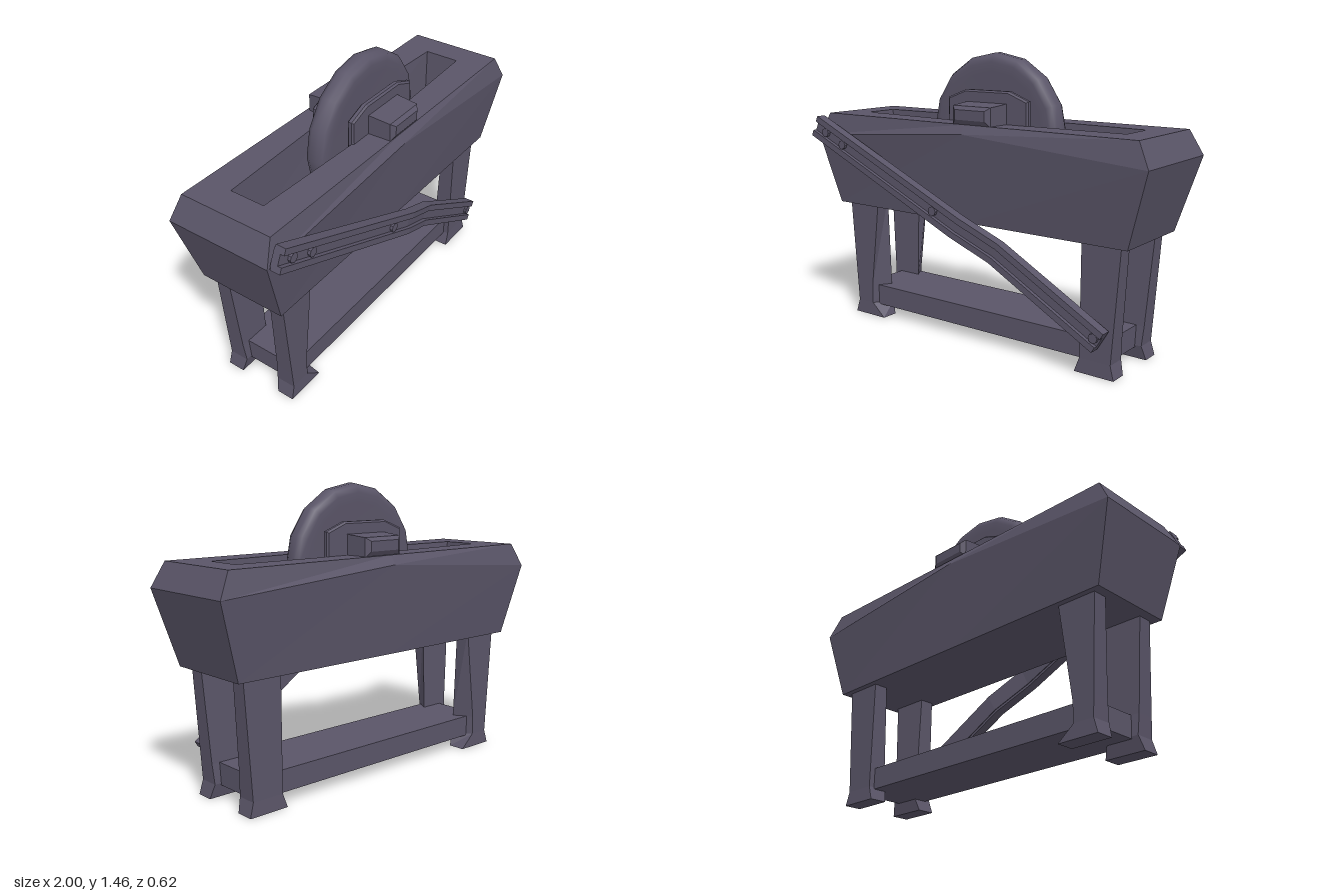
import * as THREE from 'three';

const wood = new THREE.MeshStandardMaterial({ color: 0x5a5568, flatShading: true });
const stone = new THREE.MeshStandardMaterial({ color: 0x5a5568 });

// Skin between equal-sized rings (counterclockwise about the sweep direction), capped at both ends
function loft(rings) {
  const pos = [];
  const tri = (...pts) => pts.forEach((p) => pos.push(...p));
  const n = rings[0].length;
  for (let r = 0; r < rings.length - 1; r++) {
    for (let i = 0; i < n; i++) {
      const j = (i + 1) % n, [lo, hi] = [rings[r], rings[r + 1]];
      tri(lo[i], lo[j], hi[j]);
      tri(lo[i], hi[j], hi[i]);
    }
  }
  const first = rings[0], last = rings[rings.length - 1];
  for (let i = 1; i < n - 1; i++) {
    tri(first[0], first[i + 1], first[i]);
    tri(last[0], last[i], last[i + 1]);
  }
  const geo = new THREE.BufferGeometry();
  geo.setAttribute('position', new THREE.Float32BufferAttribute(pos, 3));
  geo.computeVertexNormals();
  return geo;
}

function add(parent, name, geo, mat = wood, x = 0, y = 0, z = 0) {
  const mesh = new THREE.Mesh(geo, mat);
  mesh.name = name;
  mesh.position.set(x, y, z);
  parent.add(mesh);
  return mesh;
}

// Trough ring with an extra point in the middle of each long side
function troughRing(y, x, zBack, zFront, yMid = y, bulge = 0) {
  return [
    [x, y, zFront], [x, y, zBack], [0, yMid, zBack - bulge],
    [-x, y, zBack], [-x, y, zFront], [0, yMid, zFront + bulge],
  ];
}

// Tapered leg with a flared foot, mirrored by the signs sx and sz
function legGeometry(sx, sz) {
  const twist = sx < 0 ? 0.06 : 0;
  // y, inner x (outside corner), inner x (inside corner), outer x, inner z, outer z
  const levels = [
    [0, 0.615, 0.615, 0.825, 0.115, 0.206],
    [0.07, 0.64 + twist, 0.64, 0.805, 0.1, 0.2025],
    [0.17, 0.64 + twist, 0.64, 0.812, 0.11, 0.2025],
    [0.66, 0.64, 0.64, 0.847, 0.127, 0.2025],
  ];
  return loft(levels.map(([y, xa, xb, xo, zi, zo]) => {
    const ring = [[xo, zo], [xo, zi], [xb, zi], [xa, zo]]
      .map(([x, z]) => [sx * x, y, sz * z - 0.0325]);
    return sx * sz < 0 ? ring.reverse() : ring;
  }));
}

// Centre line of the guard rail
const railPath = [[-0.97, 1.055, 0.25], [0, 0.625, 0.25], [0.21, 0.525, 0.217], [0.772, 0.19, 0.182]];

// Strip following the rail, between offsets a..b across it and depths c..d
function railStrip(a, b, c, d) {
  return loft(railPath.map(([x, y, z], i) => {
    const p = railPath[Math.max(i - 1, 0)], q = railPath[Math.min(i + 1, railPath.length - 1)];
    const len = Math.hypot(q[0] - p[0], q[1] - p[1]);
    const nx = -(q[1] - p[1]) / len, ny = (q[0] - p[0]) / len;
    return [[a, c], [b, c], [b, d], [a, d]].map(([w, h]) => [x + nx * w, y + ny * w, z + h]);
  }));
}

export function createModel() {
  const model = new THREE.Group();
  model.name = 'grindstone';

  // Hollow trough with a bevelled rim
  add(model, 'trough', loft([
    troughRing(0.63, 0.89, -0.265, 0.2),
    troughRing(1.0, 1.0, -0.31, 0.245, 1.075),
    troughRing(1.12, 0.938, -0.28, 0.218),
    troughRing(1.12, 0.795, -0.125, 0.06, 1.12, 0.033),
    troughRing(0.8, 0.77, -0.11, 0.05, 0.8, 0.02),
  ]));

  // Legs and the low shelf joining them
  const stand = new THREE.Group();
  stand.name = 'stand';
  model.add(stand);
  for (const sx of [-1, 1]) {
    for (const sz of [-1, 1]) {
      add(stand, `${sz > 0 ? 'front' : 'back'}${sx > 0 ? 'Left' : 'Right'}Leg`, legGeometry(sx, sz));
    }
  }
  const shelf = (y, zf, zb, x) => [[x, y, zf], [x, y, zb], [-x, y, zb], [-x, y, zf]];
  add(stand, 'shelf', loft([shelf(0.06, 0.14, -0.205, 0.77), shelf(0.17, 0.14, -0.205, 0.77)]));

  // Grinding wheel with a rounded rim
  const profile = [[0, -0.05], [0.3, -0.052], [0.345, -0.057], [0.375, -0.045], [0.389, -0.02],
    [0.389, 0.02], [0.375, 0.045], [0.345, 0.057], [0.3, 0.052], [0, 0.05]];
  const wheelGeo = new THREE.LatheGeometry(profile.map((p) => new THREE.Vector2(...p)), 16);
  wheelGeo.rotateX(Math.PI / 2);
  add(model, 'wheel', wheelGeo, stone, 0.027, 1.07, -0.022);

  // Axle between the bearings
  const axleGeo = new THREE.CylinderGeometry(0.14, 0.14, 0.2, 12);
  axleGeo.rotateX(Math.PI / 2);
  add(model, 'axle', axleGeo, wood, 0.035, 1.07, -0.025);

  // Bearing plates and end blocks on both sides of the wheel
  const outline = [[-0.235, 0.85], [0.235, 0.85], [0.235, 1.23], [0.13, 1.27], [-0.13, 1.27], [-0.235, 1.23]];
  const plateGeo = new THREE.ExtrudeGeometry(new THREE.Shape(outline.map((p) => new THREE.Vector2(...p))),
    { depth: 0.018, bevelThickness: 0.009, bevelSize: 0.009, bevelSegments: 1 });
  plateGeo.translate(0, 0, -0.009);
  const blockRing = (z, w, y0, y1) => [[-w, y0, z], [w, y0, z], [w, y1, z], [-w, y1, z]];
  for (const s of [-1, 1]) {
    const side = s > 0 ? 'front' : 'back';
    add(model, side + 'BearingPlate', plateGeo, wood, 0.04, 0, s * 0.102 - 0.025);
    const rings = [
      blockRing(s * 0.09, 0.122, 1.11, 1.222),
      blockRing(s * 0.238, 0.115, 1.115, 1.21),
      blockRing(s * 0.256, 0.09, 1.143, 1.192),
    ];
    add(model, side + 'EndBlock', loft(s > 0 ? rings : rings.reverse()), wood, 0.04, 0, -0.025);
  }

  // Slanting channel rail with bolts, on the front
  const rail = new THREE.Group();
  rail.name = 'rail';
  model.add(rail);
  add(rail, 'railWeb', railStrip(-0.045, 0.045, 0, 0.036));
  add(rail, 'railUpperFlange', railStrip(0.026, 0.058, 0.004, 0.056));
  add(rail, 'railLowerFlange', railStrip(-0.058, -0.026, 0.004, 0.056));
  const boltGeo = new THREE.CylinderGeometry(0.024, 0.024, 0.016, 8);
  const pinGeo = new THREE.CylinderGeometry(0.015, 0.015, 0.09, 8);
  boltGeo.rotateX(Math.PI / 2);
  pinGeo.rotateX(Math.PI / 2);
  for (const [x, y, z] of [[-0.895, 1.022, 0.293], [-0.77, 0.966, 0.293], [-0.145, 0.688, 0.293], [0.745, 0.207, 0.226]]) {
    add(rail, 'bolt', boltGeo, wood, x, y, z);
    add(rail, 'boltPin', pinGeo, wood, x, y, z - 0.05);
  }
  return model;
}
